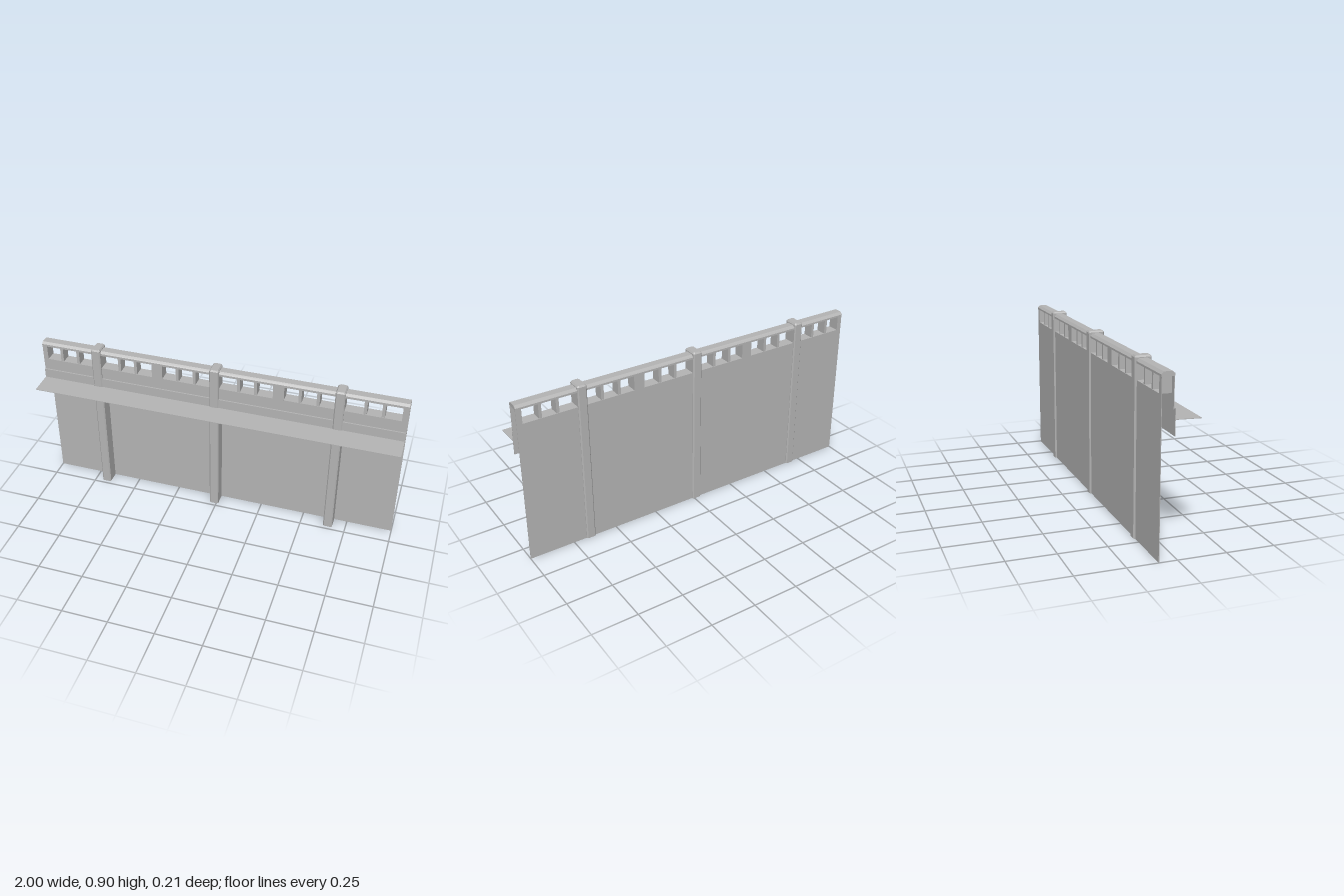
import * as THREE from 'three';

const BAYS = [-0.669, -0.002, 0.665]; // centre of each opening
const HALF = 0.304; // half width of an opening
const SILL = 0.79, HEAD = 0.87;
const FRONT = -0.032, BACK = -0.094, T = 0.003;

export function createModel() {
  const stone = new THREE.MeshStandardMaterial({ color: 0xb4b4b4 });
  stone.name = 'grey stone';
  const model = new THREE.Group();
  model.name = 'parapetWall';

  const add = (name, geometry) => {
    const mesh = new THREE.Mesh(geometry, stone);
    mesh.name = name;
    model.add(mesh);
    return mesh;
  };
  const box = (name, x0, x1, y0, y1, z0, z1) => {
    const g = new THREE.BoxGeometry(x1 - x0, y1 - y0, z1 - z0);
    return add(name, g.translate((x0 + x1) / 2, (y0 + y1) / 2, (z0 + z1) / 2));
  };
  const polygon = (points) => new THREE.Shape(points.map(([x, y]) => new THREE.Vector2(x, y)));
  const rectangle = (x0, x1, y0, y1) => polygon([[x0, y0], [x1, y0], [x1, y1], [x0, y1]]);

  // Thin wall skins, pierced by one long opening per bay
  const skin = (name, y0, z) => {
    const shape = rectangle(-1, 1, y0, HEAD + 0.006);
    for (const c of BAYS) shape.holes.push(rectangle(c - HALF, c + HALF, SILL, HEAD));
    const g = new THREE.ExtrudeGeometry(shape, { depth: T, bevelEnabled: false });
    add(name, g.translate(0, 0, z));
  };
  skin('backWall', 0, BACK);
  skin('frontParapet', 0.72, FRONT - T);

  // Stepped band below the parapet, with its ledge
  box('frontBand', -1, 1, 0.595, 0.725, -0.024 - T, -0.024);
  box('bandLedge', -1, 1, 0.722, 0.725, FRONT - T, -0.024);

  // Sills, jambs and balusters between the skins
  for (const c of BAYS) {
    box('sill', c - HALF, c + HALF, SILL - T, SILL, BACK, FRONT);
    box('leftJamb', c + HALF, c + HALF + T, SILL, HEAD, BACK, FRONT);
    box('rightJamb', c - HALF - T, c - HALF, SILL, HEAD, BACK, FRONT);
    for (const dx of [-0.22, -0.125, 0.118, 0.21]) {
      box('baluster', c + dx - 0.008, c + dx + 0.008, SILL, HEAD, BACK + T, FRONT - T);
    }
  }

  // Coping rail with bevelled top edges; profile is (-z, y)
  const railProfile = polygon([
    [0.03, HEAD], [0.096, HEAD], [0.096, 0.88], [0.084, 0.893], [0.042, 0.893], [0.03, 0.882],
  ]);
  const rail = new THREE.ExtrudeGeometry(railProfile, { depth: 2, bevelEnabled: false });
  add('copingRail', rail.rotateY(Math.PI / 2).translate(-1, 0, 0));

  // Thin projecting shelf, dipping slightly to the front
  const shelf = new THREE.BoxGeometry(2, 0.003, 0.127).rotateX(0.03);
  add('shelf', shelf.translate(0, 0.67, 0.0395));

  // Pillars with chamfered corners and bevelled heads, open underneath
  for (const c of BAYS) add('pillar', pillarGeometry(c - 0.013));
  return model;
}

function pillarGeometry(x) {
  const zMid = -0.061, chamfer = 0.006;
  const ring = (y, inset) => {
    const w = 0.0255 - inset, d = 0.042 - inset, k = chamfer;
    return [
      [w, d - k], [w - k, d], [-w + k, d], [-w, d - k],
      [-w, -d + k], [-w + k, -d], [w - k, -d], [w, -d + k],
    ].map(([px, pz]) => [x + px, y, zMid + pz]);
  };
  const rings = [ring(0, 0), ring(0.897, 0), ring(0.905, 0.006)];
  const pos = [];
  for (let r = 0; r < 2; r++) {
    for (let i = 0; i < 8; i++) {
      const j = (i + 1) % 8;
      const a = rings[r][i], b = rings[r][j], c = rings[r + 1][j], d = rings[r + 1][i];
      pos.push(...a, ...c, ...b, ...a, ...d, ...c);
    }
  }
  // Flat top
  const top = rings[2];
  for (let i = 1; i < 7; i++) pos.push(...top[0], ...top[i + 1], ...top[i]);
  const g = new THREE.BufferGeometry();
  g.setAttribute('position', new THREE.Float32BufferAttribute(pos, 3));
  g.computeVertexNormals();
  return g;
}
